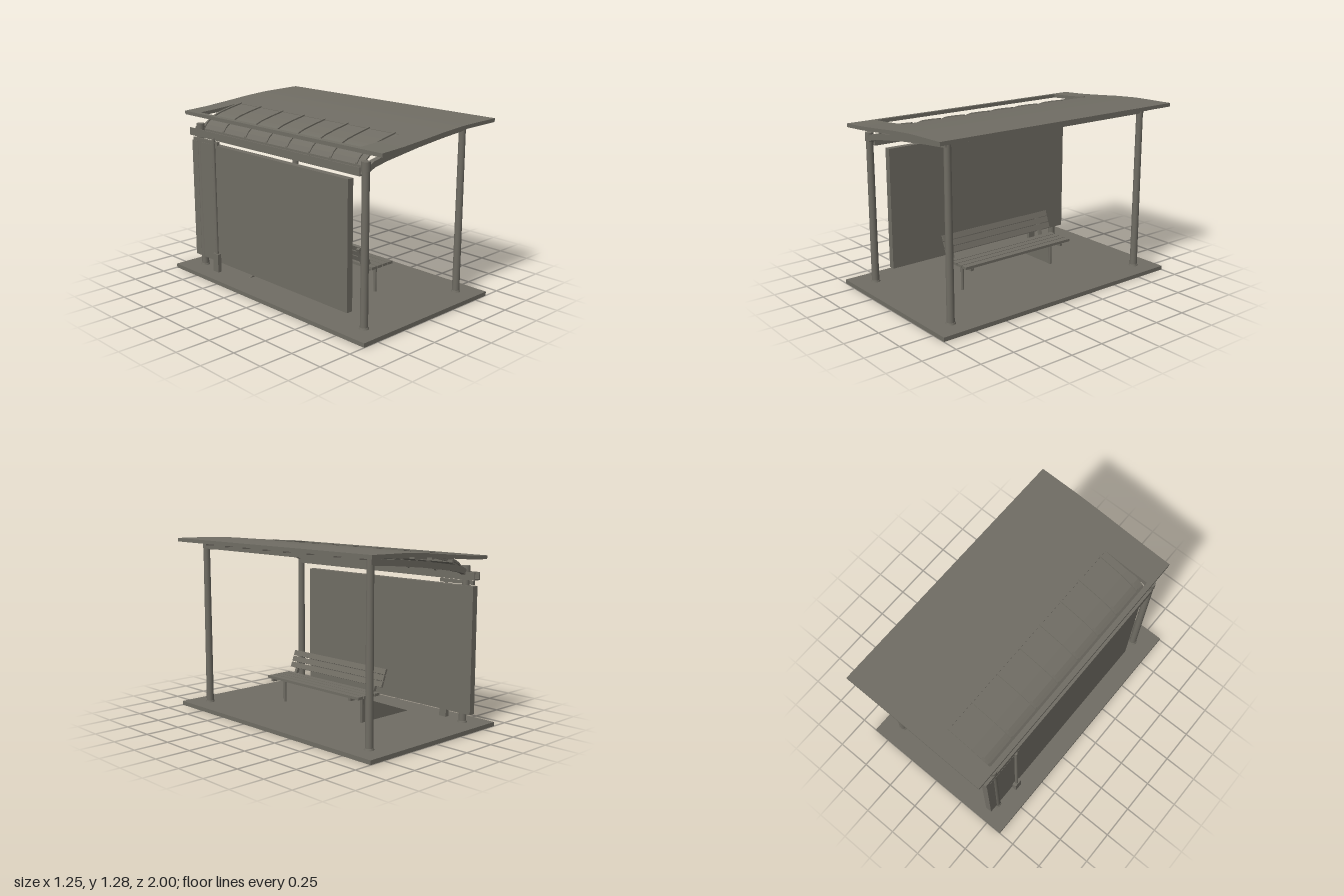
import * as THREE from 'three';

export function createModel() {
  const group = new THREE.Group();
  const grey = new THREE.MeshStandardMaterial({ color: 0x706d64 });
  grey.name = 'weathered grey';

  const add = (name, geo, x = 0, y = 0, z = 0) => {
    const m = new THREE.Mesh(geo, grey);
    m.name = name;
    m.position.set(x, y, z);
    group.add(m);
    return m;
  };
  // box from min and max corners
  const box = (name, x0, x1, y0, y1, z0, z1) =>
    add(name, new THREE.BoxGeometry(x1 - x0, y1 - y0, z1 - z0),
      (x0 + x1) / 2, (y0 + y1) / 2, (z0 + z1) / 2);
  const rod = (name, r0, r1, x, y0, y1, z, n = 14) =>
    add(name, new THREE.CylinderGeometry(r1, r0, y1 - y0, n), x, (y0 + y1) / 2, z);
  // closed xy outline extruded from z0 to z1
  const slab = (name, pts, z0, z1) => {
    const shape = new THREE.Shape(pts.map(p => new THREE.Vector2(p[0], p[1])));
    return add(name, new THREE.ExtrudeGeometry(shape, { depth: z1 - z0, bevelEnabled: false }), 0, 0, z0);
  };
  // strip following height function f, with vertical thickness t below it
  const strip = (name, f, x0, x1, t, z0, z1, n = 12) => {
    const top = [], bottom = [];
    for (let i = 0; i <= n; i++) {
      const x = x0 + (x1 - x0) * i / n;
      top.push([x, f(x)]);
      bottom.unshift([x, f(x) - t]);
    }
    return slab(name, [...top, ...bottom], z0, z1);
  };
  // smooth height function through points
  const curveY = pts => x => {
    let i = 0;
    while (i < pts.length - 2 && x > pts[i + 1][0]) i++;
    const [a, b] = [pts[i], pts[i + 1]];
    return a[1] + (b[1] - a[1]) * (x - a[0]) / (b[0] - a[0]);
  };

  const roofTop = curveY([[-0.49, 1.207], [-0.3, 1.218], [-0.1, 1.236], [0.1, 1.256], [0.3, 1.27], [0.62, 1.276]]);
  const beamTop = curveY([[-0.46, 1.1], [-0.41, 1.125], [-0.3, 1.148], [0, 1.19], [0.25, 1.217], [0.48, 1.236]]);
  const shellTop = curveY([[-0.445, 1.09], [-0.42, 1.125], [-0.38, 1.155], [-0.3, 1.188], [-0.2, 1.212], [-0.08, 1.237]]);

  // ground slab
  box('base', -0.625, 0.62, 0, 0.03, -1, 1);

  // four round posts with foot flanges
  for (const z of [0.845, -0.845]) {
    rod('frontPost', 0.027, 0.024, 0.473, 0.03, 1.24, z);
    rod('frontPostFoot', 0.034, 0.03, 0.473, 0.03, 0.042, z);
    rod('backPost', 0.027, 0.025, -0.466, 0.03, 1.13, z);
    rod('backPostFoot', 0.034, 0.03, -0.466, 0.03, 0.042, z);
    rod('backPostCollar', 0.03, 0.03, -0.466, 1.07, 1.13, z);
    strip('sideBeam', beamTop, -0.46, 0.48, 0.042, z - 0.02, z + 0.02, 18);
  }
  box('frontBeam', 0.455, 0.49, 1.2, 1.24, -0.87, 0.87);

  // back wall panel
  box('backWall', -0.485, -0.437, 0.1, 0.995, -0.93, 0.71);

  // roof sheet, open above the vaulted strip
  strip('roofMain', roofTop, -0.1, 0.62, 0.026, -1, 1);
  strip('roofEnd', roofTop, -0.455, -0.1, 0.026, -1, -0.85);
  strip('roofEnd', roofTop, -0.455, -0.1, 0.026, 0.79, 1);
  strip('roofBackEdge', roofTop, -0.49, -0.455, 0.026, -1, 1, 2);

  // vaulted panel curving down to the gutter
  strip('vaultPanel', shellTop, -0.445, -0.09, 0.012, -0.85, 0.8, 16);

  // ribs: over the vault, then under the roof
  for (const z of [-0.83, -0.6, -0.35, -0.12, 0.09, 0.31, 0.51, 0.74]) {
    strip('vaultRib', x => shellTop(x) + 0.01, -0.445, -0.09, 0.035, z - 0.009, z + 0.009, 14);
    strip('roofRib', x => roofTop(x) - 0.024, -0.1, 0.56, 0.02, z - 0.009, z + 0.009);
  }
  // lengthwise purlins
  for (const x of [-0.28, -0.07, 0.1, 0.27, 0.4]) {
    const y = (x < -0.1 ? shellTop(x) - 0.01 : roofTop(x) - 0.024);
    box('purlin', x - 0.01, x + 0.01, y - 0.018, y, -0.88, 0.86);
  }

  // gutter: open channel along the back
  slab('gutter', [[-0.495, 1.09], [-0.495, 1.035], [-0.435, 1.035], [-0.435, 1.09],
    [-0.443, 1.09], [-0.443, 1.045], [-0.487, 1.045], [-0.487, 1.09]], -0.94, 0.82);

  // drain pipe and its foot
  rod('drainPipe', 0.012, 0.012, -0.498, 0.03, 1.05, -0.65, 10);
  box('drainFoot', -0.515, -0.485, 0.03, 0.17, -0.68, -0.62);
  box('drainBranch', -0.495, -0.475, 1.0, 1.025, -0.9, -0.61);

  // bench seat slats on cross bars
  for (let i = 0; i < 4; i++) {
    const x = -0.032 + i * 0.054;
    box('seatSlat', x, x + 0.048, 0.225, 0.244, -0.455, 0.505);
  }
  // backrest leans back along a straight line
  const lean = Math.atan2(0.065, 0.17);
  for (let i = 0; i < 3; i++) {
    const t = 0.075 + i * 0.046;
    const slat = add('backSlat', new THREE.BoxGeometry(0.016, 0.04, 0.96),
      -0.036 - Math.sin(lean) * t, 0.225 + Math.cos(lean) * t, 0.025);
    slat.rotation.z = lean;
  }
  for (const z of [0.45, -0.37]) {
    box('seatBar', -0.06, 0.18, 0.207, 0.226, z - 0.012, z + 0.012);
    const arm = add('backSupport', new THREE.BoxGeometry(0.022, 0.19, 0.024), -0.083, 0.3, z);
    arm.rotation.z = lean;
    rod('benchLeg', 0.011, 0.011, 0.058, 0.03, 0.21, z, 8);
  }
  // triangular brace plate below one end of the bench
  slab('braceWedge', [[-0.42, 0.03], [0.065, 0.03], [0.065, 0.21]], -0.375, -0.367);

  return group;
}
